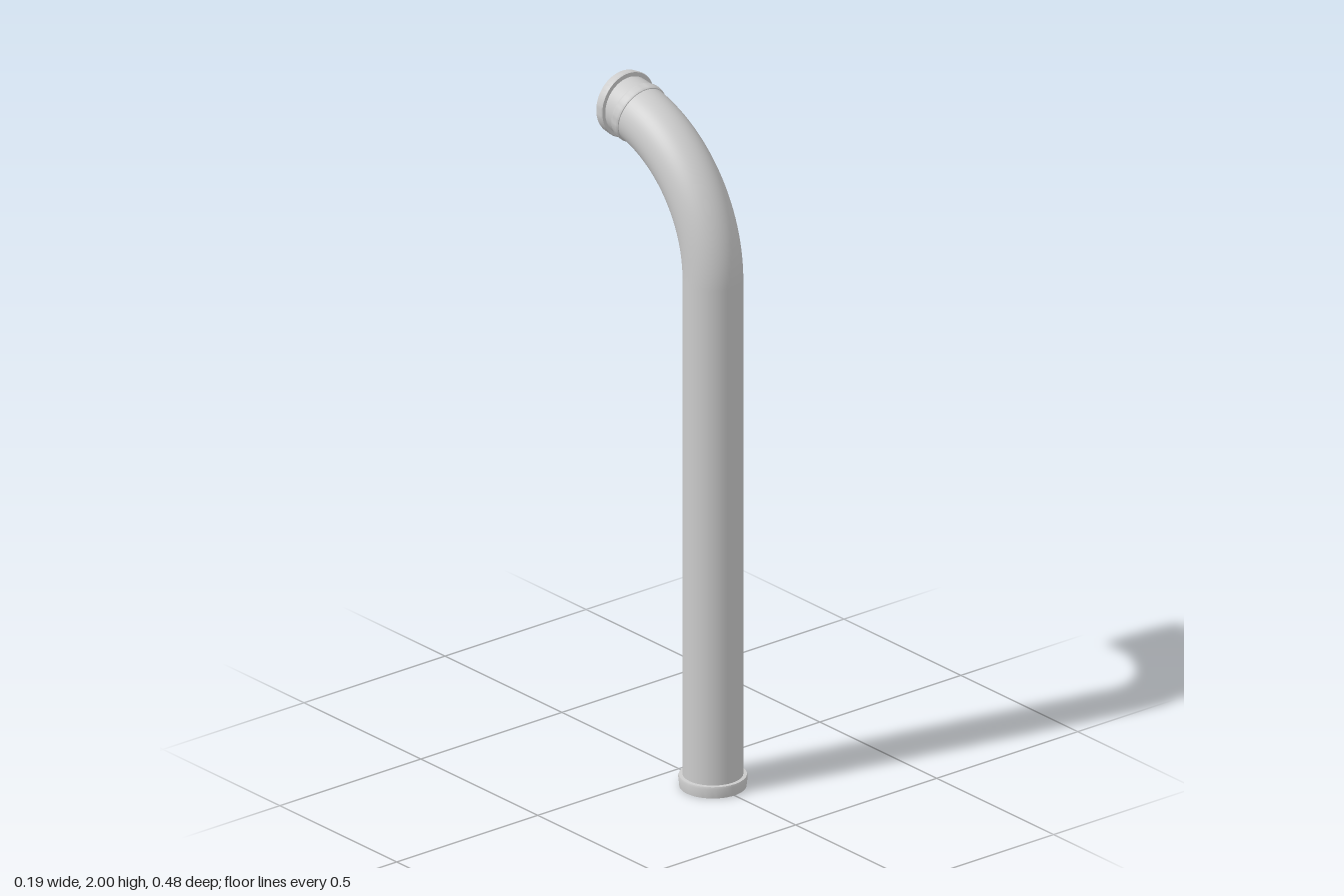
import * as THREE from 'three';
import { toCreasedNormals } from 'three/addons/utils/BufferGeometryUtils.js';

const PIPE_R = 0.083, PIPE_Z = 0.146;
const BEND_R = 0.4, BEND_Y = 1.505, BEND_Z = PIPE_Z - BEND_R;
const SIDES = 64;

export function createModel() {
  const group = new THREE.Group();
  group.name = 'bentPipe';
  const material = new THREE.MeshStandardMaterial({ color: 0xcccccc });

  function add(name, geometry, y, z, tilt = 0) {
    const mesh = new THREE.Mesh(geometry, material);
    mesh.name = name;
    mesh.position.set(0, y, z);
    mesh.rotation.x = tilt;
    group.add(mesh);
  }

  // Turned solid from [radius, height] pairs, listed bottom to top
  function turned(profile) {
    const points = profile.map(([r, h]) => new THREE.Vector2(r, h));
    return toCreasedNormals(new THREE.LatheGeometry(points, SIDES), 0.6);
  }

  // Upright pipe and its quarter bend towards the back
  const upright = new THREE.CylinderGeometry(PIPE_R, PIPE_R, BEND_Y - 0.01, SIDES, 1, true);
  add('uprightPipe', upright, (BEND_Y + 0.01) / 2, PIPE_Z);
  const bend = new THREE.TorusGeometry(BEND_R, PIPE_R, SIDES, 48, 1.52);
  bend.rotateY(-Math.PI / 2);
  add('pipeBend', bend, BEND_Y, BEND_Z);

  // Closed collar at the foot
  add('baseCollar', turned([
    [0, 0], [0.092, 0], [0.095, 0.028], [0.093, 0.034], [0.081, 0.035],
  ]), 0, PIPE_Z);

  // Rounded bead around the bend, square to the pipe axis
  const slope = 0.21;
  add('beadRing', turned([
    [0.081, -0.016], [0.085, -0.014], [0.0875, -0.008], [0.088, 0],
    [0.0875, 0.008], [0.085, 0.014], [0.081, 0.016],
  ]), BEND_Y + BEND_R * Math.cos(slope), BEND_Z + BEND_R * Math.sin(slope), slope - Math.PI / 2);

  // Closed collar at the upper end, facing straight back
  add('endCollar', turned([
    [0.078, 0], [0.093, 0.001], [0.095, 0.005], [0.092, 0.028], [0, 0.028],
  ]), BEND_Y + BEND_R, -0.214, -Math.PI / 2);

  return group;
}
